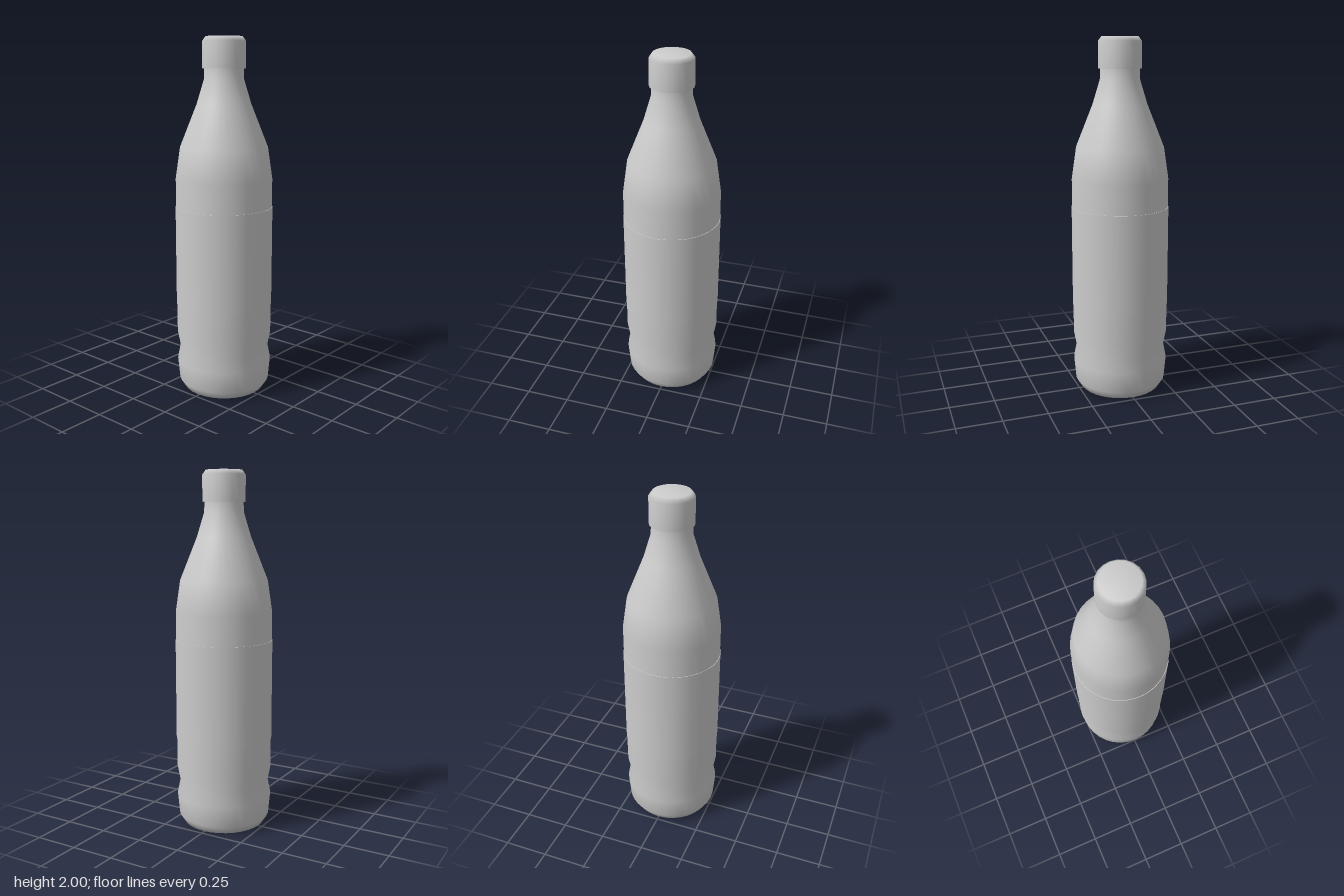
import * as THREE from 'three';

// Revolved part from a profile of [radius, height] points, listed bottom to top on the outside
function turned(name, profile, sides, material) {
  const points = profile.map(([r, y]) => new THREE.Vector2(r, y));
  const mesh = new THREE.Mesh(new THREE.LatheGeometry(points, sides), material);
  mesh.name = name;
  return mesh;
}

export function createModel() {
  const lightGrey = new THREE.MeshStandardMaterial({ color: 0xcccccc });
  lightGrey.name = 'lightGrey';

  const bottle = new THREE.Group();
  bottle.name = 'bottle';

  // Body: rounded base, pinched waist, straight wall, tapering shoulder and neck
  bottle.add(turned('body', [
    [0, 0], [0.23, 0.005], [0.259, 0.05], [0.27, 0.17], [0.254, 0.25], [0.27, 0.335],
    [0.27, 1.23], [0.244, 1.405], [0.15, 1.64], [0.109, 1.775], [0.107, 1.85],
  ], 32, lightGrey));

  // Wrap-around label with thin rims that meet the wall
  const label = new THREE.Group();
  label.name = 'label';
  label.add(
    turned('labelBand', [[0.273, 0.5], [0.273, 1.07]], 32, lightGrey),
    turned('labelLowerRim', [[0.268, 0.5], [0.273, 0.5]], 32, lightGrey),
    turned('labelUpperRim', [[0.273, 1.07], [0.268, 1.07]], 32, lightGrey),
  );
  bottle.add(label);

  // Screw cap: bevelled top and flat underside
  const cap = new THREE.Group();
  cap.name = 'cap';
  cap.add(
    turned('capShell', [[0.119, 1.83], [0.119, 1.975], [0.1, 2], [0, 2]], 20, lightGrey),
    turned('capUnderside', [[0.1, 1.83], [0.119, 1.83]], 20, lightGrey),
  );
  bottle.add(cap);

  return bottle;
}
